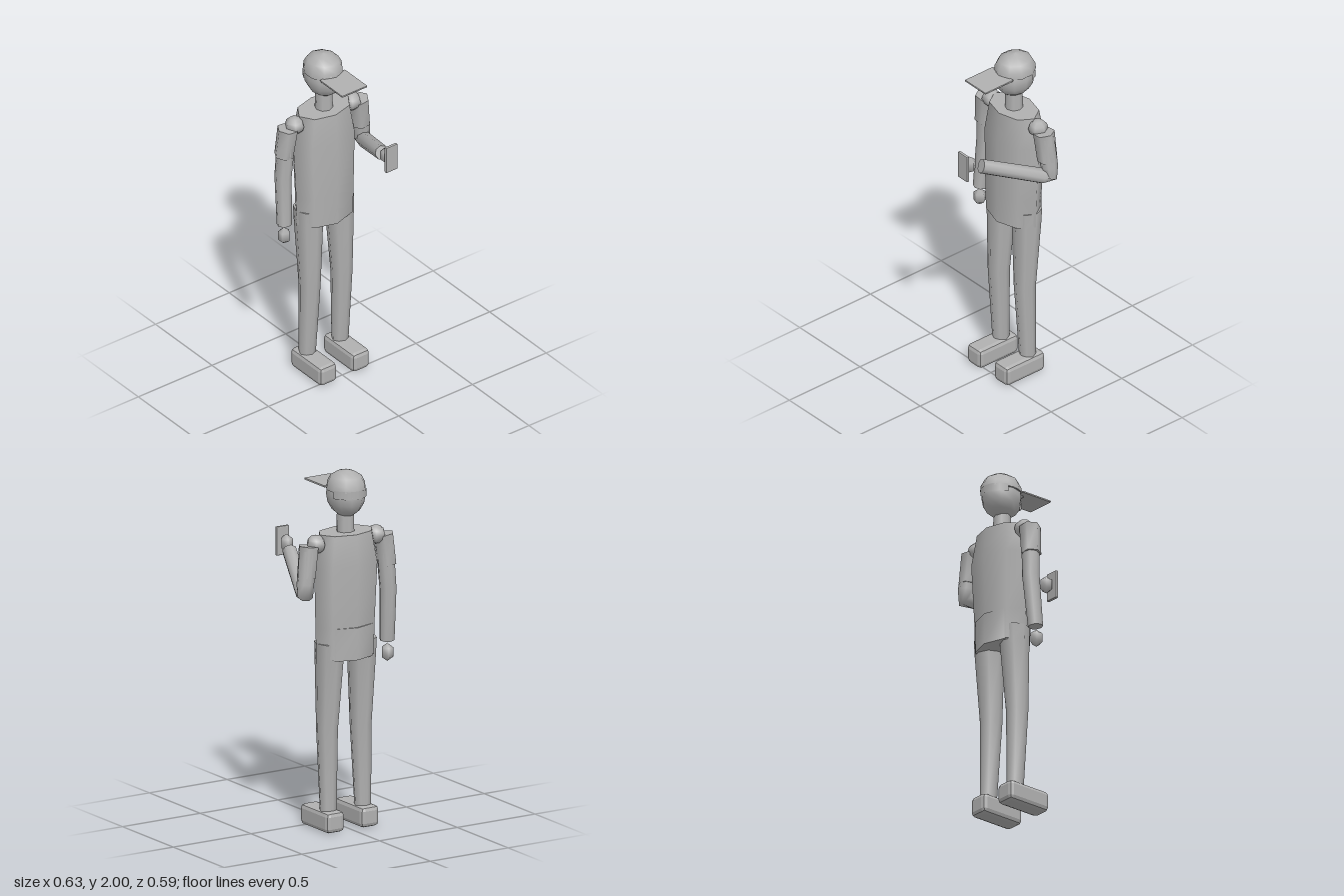
import * as THREE from 'three';
import { RoundedBoxGeometry } from 'three/addons/geometries/RoundedBoxGeometry.js';

const grey = new THREE.MeshStandardMaterial({ color: 0xb0b0b0 });
grey.name = 'plain grey';

const V = (x, y, z) => new THREE.Vector3(x, y, z);

function add(parent, name, geometry, x = 0, y = 0, z = 0) {
  const mesh = new THREE.Mesh(geometry, grey);
  mesh.name = name;
  mesh.position.set(x, y, z);
  parent.add(mesh);
  return mesh;
}

// Box with single-step bevels and flat faces
function bevelBox(w, h, d, r) {
  let g = new RoundedBoxGeometry(w, h, d, 1, r);
  if (g.index) g = g.toNonIndexed();
  g.computeVertexNormals();
  return g;
}

// Skin over rings of points, with flat end caps
function skin(rings) {
  const n = rings[0].length, pos = [], idx = [];
  rings.forEach(ring => ring.forEach(p => pos.push(p.x, p.y, p.z)));
  for (let r = 0; r < rings.length - 1; r++) {
    for (let i = 0; i < n; i++) {
      const a = r * n + i, b = r * n + (i + 1) % n;
      idx.push(a, b, b + n, a, b + n, a + n);
    }
  }
  for (const end of [0, rings.length - 1]) {
    const base = pos.length / 3;
    rings[end].forEach(p => pos.push(p.x, p.y, p.z));
    for (let i = 1; i < n - 1; i++) {
      if (end) idx.push(base, base + i, base + i + 1);
      else idx.push(base, base + i + 1, base + i);
    }
  }
  const g = new THREE.BufferGeometry();
  g.setAttribute('position', new THREE.Float32BufferAttribute(pos, 3));
  g.setIndex(idx);
  g.computeVertexNormals();
  return g;
}

// Tapered limb along stations of [x, y, z, radius]
function limb(stations, sides) {
  const pts = stations.map(s => V(s[0], s[1], s[2]));
  return skin(pts.map((p, i) => {
    const t = pts[Math.min(i + 1, pts.length - 1)].clone().sub(pts[Math.max(i - 1, 0)]).normalize();
    const u = V(1, 0, 0).addScaledVector(t, -t.x).normalize();
    const w = t.clone().cross(u);
    return Array.from({ length: sides }, (_, k) => {
      const a = k / sides * Math.PI * 2, r = stations[i][3];
      return p.clone().addScaledVector(u, Math.cos(a) * r).addScaledVector(w, Math.sin(a) * r);
    });
  }));
}

// Elliptical trunk from [y, halfWidth, halfDepth, centreZ]
function trunk(levels, sides) {
  return skin(levels.map(([y, rx, rz, z]) => Array.from({ length: sides }, (_, k) => {
    const a = k / sides * Math.PI * 2;
    return V(Math.cos(a) * rx, y, z - Math.sin(a) * rz);
  })));
}

export function createModel() {
  const model = new THREE.Group();
  model.name = 'figure';

  // Trunk
  add(model, 'torso', trunk([
    [0.965, 0.185, 0.118, -0.16], [1.14, 0.19, 0.12, -0.16],
    [1.48, 0.203, 0.128, -0.168], [1.655, 0.166, 0.108, -0.165],
  ], 8));
  add(model, 'pelvis', trunk([[0.96, 0.165, 0.124, -0.165], [1.14, 0.165, 0.124, -0.165]], 8));
  add(model, 'neck', new THREE.CylinderGeometry(0.046, 0.05, 0.14, 8), 0, 1.71, -0.163);

  // Head and face
  const head = add(model, 'head', new THREE.SphereGeometry(1, 10, 8), 0, 1.862, -0.168);
  head.scale.set(0.101, 0.124, 0.12);
  add(model, 'nose', new THREE.BoxGeometry(0.022, 0.042, 0.025), 0, 1.847, -0.049);
  for (const s of [-1, 1]) {
    add(model, 'eye', new THREE.BoxGeometry(0.022, 0.01, 0.009), s * 0.045, 1.882, -0.062);
  }

  // Cap
  const crown = [[0.107, 0], [0.104, 0.035], [0.085, 0.072], [0.045, 0.098], [0, 0.11]];
  const dome = add(model, 'capCrown', new THREE.LatheGeometry(
    crown.map(p => new THREE.Vector2(...p)), 10), 0, 1.89, -0.17);
  dome.scale.z = 1.1;
  const under = add(model, 'capUnderside', new THREE.CircleGeometry(0.106, 10), 0, 1.89, -0.17);
  under.rotation.x = Math.PI / 2;
  under.scale.y = 1.1;
  const strap = add(model, 'capBackBand', new THREE.CylinderGeometry(
    0.108, 0.108, 0.045, 6, 1, true, Math.PI * 0.6, Math.PI * 0.8), 0, 1.878, -0.17);
  strap.scale.z = 1.09;
  add(model, 'capBrim', bevelBox(0.172, 0.012, 0.2, 0.005), 0, 1.895, 0.012);

  // Legs and shoes
  for (const s of [-1, 1]) {
    add(model, 'leg', limb([
      [s * 0.111, 0.1, -0.165, 0.046], [s * 0.108, 0.56, -0.148, 0.06],
      [s * 0.104, 0.96, -0.163, 0.08], [s * 0.103, 1.05, -0.165, 0.084],
    ], 8));
    add(model, 'shoe', bevelBox(0.116, 0.116, 0.275, 0.024), s * 0.111, 0.058, -0.1075);
    const ball = add(model, 'shoulder', new THREE.SphereGeometry(0.055, 6, 6), s * 0.193, 1.609, -0.17);
    ball.scale.y = 0.95;
    add(model, 'sleeve', limb([
      [s * 0.26, 1.435, -0.178, 0.055], [s * 0.24, 1.605, -0.17, 0.059],
    ], 6));
  }

  // Hanging arm and bent arm
  add(model, 'rightArm', limb([
    [-0.272, 1.005, -0.158, 0.041], [-0.262, 1.3, -0.182, 0.047], [-0.245, 1.58, -0.172, 0.05],
  ], 8));
  add(model, 'leftForearm', limb([
    [0.133, 1.483, 0.182, 0.041], [0.26, 1.345, -0.145, 0.044],
    [0.273, 1.34, -0.183, 0.046], [0.27, 1.4, -0.183, 0.048], [0.247, 1.58, -0.172, 0.05],
  ], 8));

  // Hands
  for (const [name, x, y, z] of [['rightHand', -0.275, 0.935, -0.155], ['leftHand', 0.112, 1.51, 0.244]]) {
    const hand = add(model, name, new THREE.SphereGeometry(0.039, 5, 3), x, y, z);
    hand.scale.y = 1.3;
    hand.rotation.y = Math.PI;
  }

  // Held slab
  add(model, 'handset', bevelBox(0.08, 0.162, 0.018, 0.006), 0.111, 1.515, 0.288);

  return model;
}
